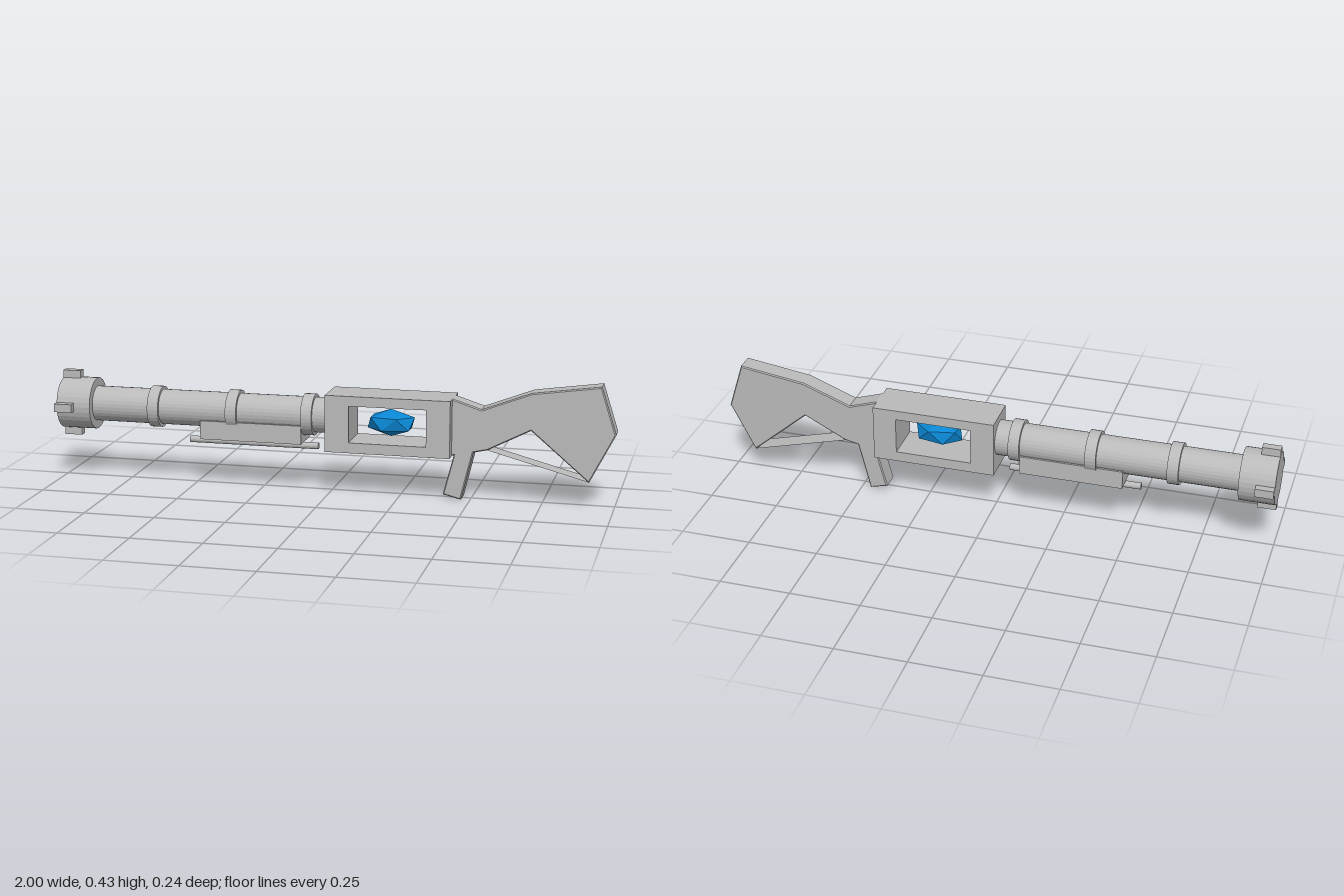
import * as THREE from 'three';

export function createModel() {
  const model = new THREE.Group();
  const grey = new THREE.MeshStandardMaterial({ color: 0xbababa, flatShading: true, side: THREE.DoubleSide });
  grey.name = 'grey metal';
  const blue = new THREE.MeshStandardMaterial({ color: 0x0a86d2, flatShading: true });
  blue.name = 'blue crystal';
  const axisY = 0.272;

  function add(name, geometry, material = grey) {
    const mesh = new THREE.Mesh(geometry, material);
    mesh.name = name;
    model.add(mesh);
    return mesh;
  }
  // Cylinder lying along x between x0 and x1
  function tube(name, x0, x1, radius, y = axisY, sides = 32) {
    const g = new THREE.CylinderGeometry(radius, radius, x1 - x0, sides);
    g.rotateZ(Math.PI / 2);
    g.translate((x0 + x1) / 2, y, 0);
    return add(name, g);
  }
  function box(name, x0, x1, y0, y1, halfZ) {
    const g = new THREE.BoxGeometry(x1 - x0, y1 - y0, halfZ * 2);
    g.translate((x0 + x1) / 2, (y0 + y1) / 2, 0);
    return add(name, g);
  }
  const points = (list) => list.map(([x, y]) => new THREE.Vector2(x, y));
  const rect = (x0, x1, y0, y1) => points([[x0, y0], [x1, y0], [x1, y1], [x0, y1]]);

  // Barrel, bands and muzzle
  tube('barrel', -0.9, 0, 0.063);
  for (const x of [-0.645, -0.355, -0.08]) tube('barrelBand', x - 0.02, x + 0.02, 0.074);
  tube('muzzle', -1, -0.875, 0.093);

  // Four lugs around the muzzle
  for (let i = 0; i < 4; i++) {
    const g = new THREE.BoxGeometry(0.065, 0.05, 0.03);
    g.translate(0, 0.094, 0);
    g.rotateX((i * Math.PI) / 2);
    g.translate(-0.9675, axisY, 0);
    add('muzzleLug', g);
  }

  // Fore-end under the barrel, with its rod
  box('foreEnd', -0.47, -0.1, 0.174, 0.241, 0.062);
  tube('underRod', -0.525, -0.05, 0.012, 0.158, 16);

  // Receiver: a frame with an opening right through it
  const frame = new THREE.Shape(rect(-0.01, 0.434, 0.157, 0.36));
  frame.holes.push(new THREE.Path(rect(0.075, 0.35, 0.194, 0.325)));
  const receiver = new THREE.ExtrudeGeometry(frame, { depth: 0.152, bevelEnabled: false });
  receiver.translate(0, 0, -0.076);
  add('receiver', receiver);

  // Crystal: stretched icosahedron standing on a vertex
  const crystal = new THREE.IcosahedronGeometry(1, 0);
  crystal.rotateZ(-Math.atan(2 / (1 + Math.sqrt(5))));
  crystal.scale(0.094, 0.049, 0.058);
  crystal.translate(0.212, 0.258, 0);
  add('crystal', crystal, blue);

  // Stock and grip in one bevelled outline
  const outline = new THREE.Shape(points([
    [0.43, 0.36], [0.437, 0.36], [0.537, 0.328], [0.709, 0.394], [0.947, 0.428], [1, 0.262],
    [0.912, 0.09], [0.709, 0.262], [0.559, 0.185], [0.51, 0.174],
    [0.468, 0.002], [0.404, 0.018], [0.441, 0.16], [0.43, 0.16],
  ].reverse()));
  const stock = new THREE.ExtrudeGeometry(outline, {
    depth: 0.064, bevelEnabled: true, bevelSize: 0.004, bevelOffset: -0.004, bevelThickness: 0.004, bevelSegments: 1,
  });
  stock.translate(0, 0, -0.032);
  add('stock', stock);

  // Thin strap closing the gap between grip and butt
  const dx = 0.355, dy = -0.094;
  const strap = new THREE.PlaneGeometry(Math.hypot(dx, dy), 0.07);
  strap.rotateX(-Math.PI / 2);
  strap.rotateZ(Math.atan2(dy, dx));
  strap.translate(0.556 + dx / 2, 0.186 + dy / 2, 0);
  add('stockStrap', strap);

  return model;
}
